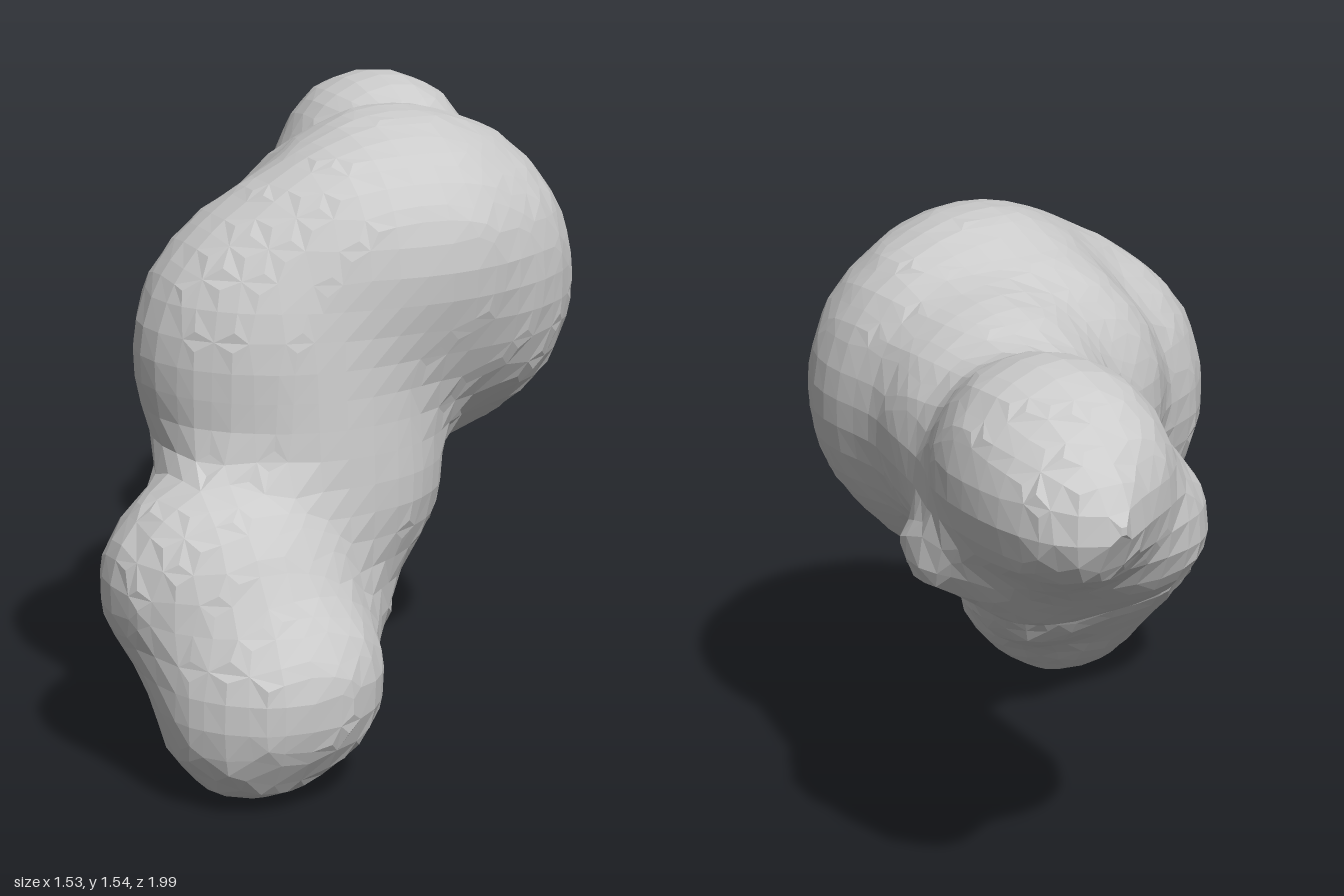
import * as THREE from 'three';

// Lobes of the rock: centre x, y, z then radii x, y, z
const LOBES = [
  // foot
  [-0.50, 0.175, 0.76, 0.17, 0.16, 0.18],
  [-0.42, 0.28, 0.72, 0.28, 0.26, 0.28],
  [-0.45, 0.48, 0.57, 0.32, 0.29, 0.29],
  [-0.20, 0.37, 0.52, 0.18, 0.17, 0.20],
  // waist and underside
  [-0.20, 0.70, 0.45, 0.35, 0.36, 0.29],
  [0.15, 0.86, 0.20, 0.28, 0.22, 0.25],
  // main body
  [-0.20, 0.98, 0.38, 0.40, 0.42, 0.34],
  [0.00, 1.22, 0.46, 0.38, 0.28, 0.27],
  [0.10, 1.14, 0.32, 0.40, 0.41, 0.36],
  [0.30, 1.10, 0.25, 0.29, 0.37, 0.36],
  [0.10, 1.08, 0.08, 0.38, 0.37, 0.26],
  // neck
  [0.30, 1.10, -0.05, 0.30, 0.33, 0.28],
  [0.36, 1.09, -0.26, 0.30, 0.27, 0.34],
  // head, its low flank, its tip and the knobs beneath
  [0.50, 1.17, -0.58, 0.27, 0.29, 0.33],
  [0.32, 1.02, -0.52, 0.24, 0.22, 0.30],
  [0.61, 1.16, -0.77, 0.15, 0.17, 0.23],
  [0.64, 0.95, -0.38, 0.13, 0.10, 0.15],
  [0.50, 0.92, -0.53, 0.17, 0.14, 0.17],
];
const BLEND = 0.08;

// Approximate signed distance to one ellipsoid
function ellipsoid([cx, cy, cz, rx, ry, rz], x, y, z) {
  const a = (x - cx) / rx, b = (y - cy) / ry, c = (z - cz) / rz;
  const k0 = Math.hypot(a, b, c);
  const k1 = Math.hypot(a / rx, b / ry, c / rz);
  return k1 < 1e-6 ? -Math.min(rx, ry, rz) : k0 * (k0 - 1) / k1;
}

// Smooth union of all lobes with slight surface lumps
function field(x, y, z) {
  let d = 1e3;
  for (const lobe of LOBES) {
    const e = ellipsoid(lobe, x, y, z);
    const h = Math.max(BLEND - Math.abs(d - e), 0) / BLEND;
    d = Math.min(d, e) - h * h * BLEND / 4;
  }
  return d + 0.005 * Math.sin(13 * x + 2) * Math.sin(12 * y + 1) * Math.sin(14 * z);
}

// Facet the field on a regular grid: one vertex per crossed cell, one quad per crossed edge
function facet(min, size, step) {
  const [nx, ny, nz] = size.map((s) => Math.ceil(s / step) + 1);
  const id = (i, j, k) => i + nx * (j + ny * k);
  const stride = [1, nx, nx * ny];
  const values = new Float32Array(nx * ny * nz);
  const at = (i, j, k) => [min[0] + i * step, min[1] + j * step, min[2] + k * step];
  for (let k = 0; k < nz; k++) for (let j = 0; j < ny; j++) for (let i = 0; i < nx; i++) {
    values[id(i, j, k)] = field(...at(i, j, k));
  }

  const positions = [], cellVertex = new Map();
  for (let k = 0; k < nz - 1; k++) for (let j = 0; j < ny - 1; j++) for (let i = 0; i < nx - 1; i++) {
    const base = id(i, j, k), sum = [0, 0, 0];
    let count = 0;
    for (let corner = 0; corner < 8; corner++) for (let a = 0; a < 3; a++) {
      if (corner & (1 << a)) continue;
      const bits = [corner & 1, (corner >> 1) & 1, (corner >> 2) & 1];
      const p = base + bits[0] * stride[0] + bits[1] * stride[1] + bits[2] * stride[2];
      const v0 = values[p], v1 = values[p + stride[a]];
      if ((v0 < 0) === (v1 < 0)) continue;
      bits[a] = v0 / (v0 - v1);
      for (let n = 0; n < 3; n++) sum[n] += bits[n];
      count++;
    }
    if (!count) continue;
    cellVertex.set(base, positions.length / 3);
    positions.push(...at(i + sum[0] / count, j + sum[1] / count, k + sum[2] / count));
  }

  const index = [];
  for (let k = 1; k < nz - 1; k++) for (let j = 1; j < ny - 1; j++) for (let i = 1; i < nx - 1; i++) {
    const p = id(i, j, k);
    for (let a = 0; a < 3; a++) {
      const inside = values[p] < 0;
      if (inside === (values[p + stride[a]] < 0)) continue;
      const b = stride[(a + 1) % 3], c = stride[(a + 2) % 3];
      const quad = [p, p - b, p - b - c, p - c].map((cell) => cellVertex.get(cell));
      if (!inside) quad.reverse();
      index.push(quad[0], quad[1], quad[2], quad[0], quad[2], quad[3]);
    }
  }
  const geometry = new THREE.BufferGeometry();
  geometry.setAttribute('position', new THREE.Float32BufferAttribute(positions, 3));
  geometry.setIndex(index);
  return geometry;
}

export function createModel() {
  const group = new THREE.Group();
  group.name = 'asteroid';
  const geometry = facet([-0.95, -0.15, -1.2], [1.9, 1.9, 2.4], 0.07).toNonIndexed();
  geometry.computeVertexNormals();
  const rock = new THREE.Mesh(
    geometry,
    new THREE.MeshStandardMaterial({ color: 0xcccccc, flatShading: true }),
  );
  rock.name = 'rockBody';
  group.add(rock);
  return group;
}
